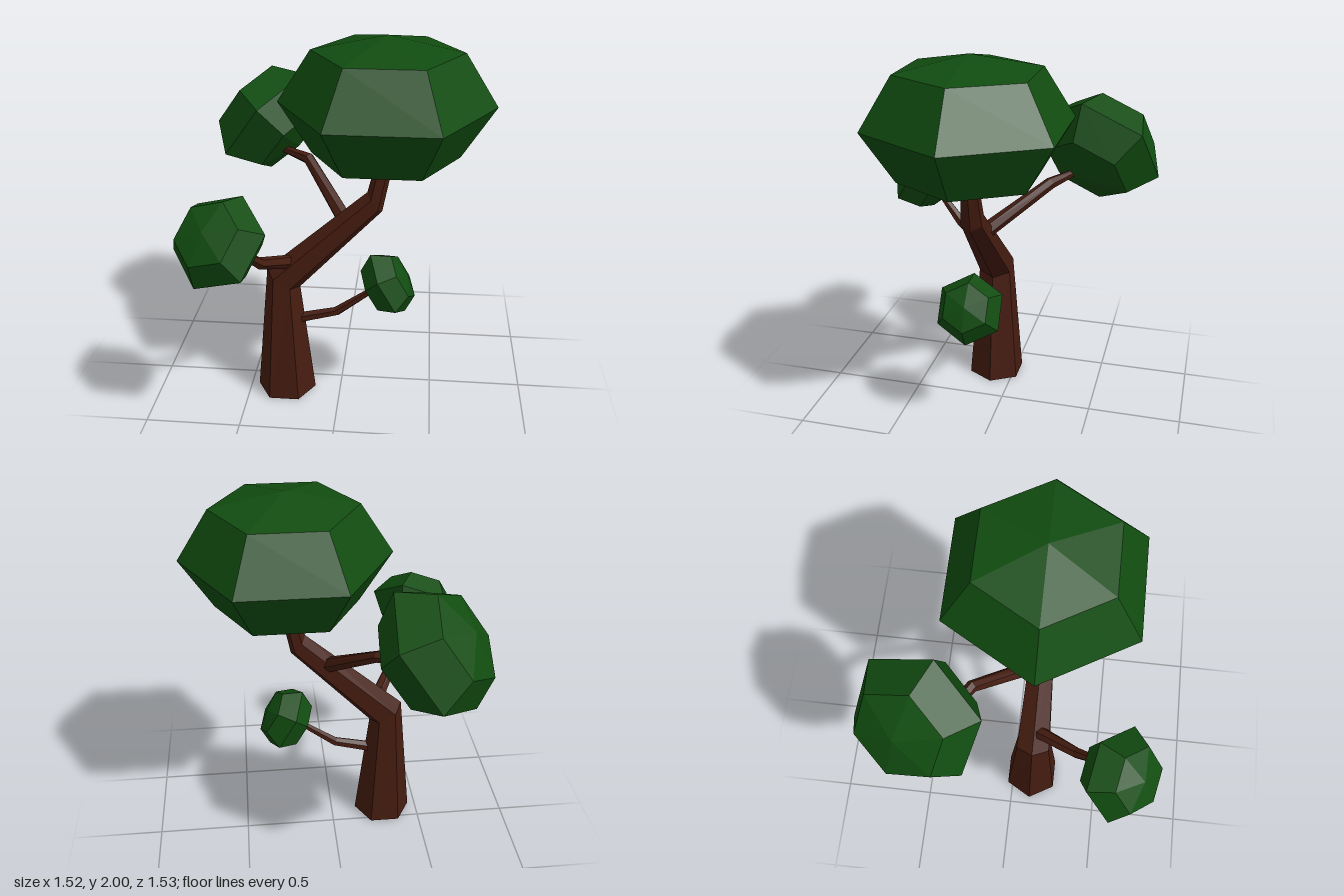
import * as THREE from 'three';

const bark = new THREE.MeshStandardMaterial({ color: 0x451c10, flatShading: true });
const leaf = new THREE.MeshStandardMaterial({ color: 0x114c10, flatShading: true });
const V = (x, y, z) => new THREE.Vector3(x, y, z);

// Six-sided limb through points [x, y, z, radius]; ring normals are given or follow the path
function limb(name, path, normals) {
  const sides = 6;
  const centres = path.map(([x, y, z]) => V(x, y, z));
  const rings = path.map((p, i) => {
    const c = centres[i];
    let n = V(0, 0, 0);
    if (normals) n.copy(normals[i]);
    else {
      if (i > 0) n.add(c.clone().sub(centres[i - 1]).normalize());
      if (i < path.length - 1) n.add(centres[i + 1].clone().sub(c).normalize());
    }
    n.normalize();
    const u = V(0, 0, 1).cross(n).negate().normalize();
    const v = u.clone().cross(n);
    return Array.from({ length: sides }, (_, k) => {
      const a = (k / sides) * Math.PI * 2;
      return c.clone().addScaledVector(u, p[3] * Math.cos(a)).addScaledVector(v, p[3] * Math.sin(a));
    });
  });
  const points = [];
  const last = rings.length - 1;
  for (let k = 0; k < sides; k++) {
    const m = (k + 1) % sides;
    for (let i = 0; i < last; i++) {
      const a = rings[i], b = rings[i + 1];
      points.push(a[k], b[k], a[m], a[m], b[k], b[m]);
    }
    points.push(centres[0], rings[0][k], rings[0][m]);
    points.push(centres[last], rings[last][m], rings[last][k]);
  }
  const geometry = new THREE.BufferGeometry().setFromPoints(points);
  geometry.computeVertexNormals();
  const mesh = new THREE.Mesh(geometry, bark);
  mesh.name = name;
  return mesh;
}

// Flattened six-sided leaf ball, shared by all clumps
const profile = [[0, -0.632], [0.69, -0.486], [1, 0], [0.69, 0.486], [0, 0.632]];
const ball = new THREE.LatheGeometry(
  profile.map(([r, y]) => new THREE.Vector2(r, y)), 6, Math.PI / 2);

// Clump with its short axis along `axis` and one widest corner towards `corner`
function clump(name, centre, radius, axis, corner) {
  const y = axis.clone().normalize();
  const x = corner.clone().addScaledVector(y, -corner.dot(y)).normalize();
  const mesh = new THREE.Mesh(ball, leaf);
  mesh.name = name;
  mesh.quaternion.setFromRotationMatrix(
    new THREE.Matrix4().makeBasis(x, y, x.clone().cross(y)));
  mesh.position.copy(centre);
  mesh.scale.setScalar(radius);
  return mesh;
}

export function createModel() {
  const tree = new THREE.Group();
  tree.name = 'tree';

  // Trunk, bent twice towards the crown
  tree.add(limb('trunk', [
    [-0.30, 0, 0.11, 0.16],
    [-0.302, 0.69, 0.11, 0.101],
    [0.177, 1.15, 0.11, 0.064],
    [0.235, 1.42, 0.11, 0.042],
  ], [V(0, 1, 0), V(0.5, 0.87, 0), V(0.8, 0.6, 0), V(0.25, 0.97, 0)]));

  // Side branches
  tree.add(limb('lowerBranch', [
    [-0.26, 0.435, 0.11, 0.032], [-0.02, 0.495, 0.11, 0.026], [0.19, 0.65, 0.11, 0.016]]));
  tree.add(limb('frontBranch', [
    [-0.26, 0.79, 0.12, 0.038], [-0.385, 0.89, 0.34, 0.031], [-0.46, 1.03, 0.49, 0.018]]));
  tree.add(limb('backBranch', [
    [0.02, 1.03, 0.08, 0.042], [-0.20, 1.245, -0.215, 0.032], [-0.38, 1.265, -0.33, 0.019]]));

  // Foliage
  tree.add(clump('crown', V(0.225, 1.661, 0.10), 0.535, V(0, 1, 0), V(1, 0, 0)));
  tree.add(clump('lowerFoliage', V(0.253, 0.68, 0.108), 0.189, V(0.866, 0.5, 0), V(0.5, -0.866, 0)));
  tree.add(clump('frontFoliage', V(-0.53, 1.114, 0.563), 0.246, V(-0.32, 0.65, 0.69), V(0.23, 0.06, 0.035)));
  tree.add(clump('backFoliage', V(-0.435, 1.395, -0.443), 0.352, V(-0.73, 0.61, -0.32), V(0.02, -0.141, -0.325)));
  return tree;
}
